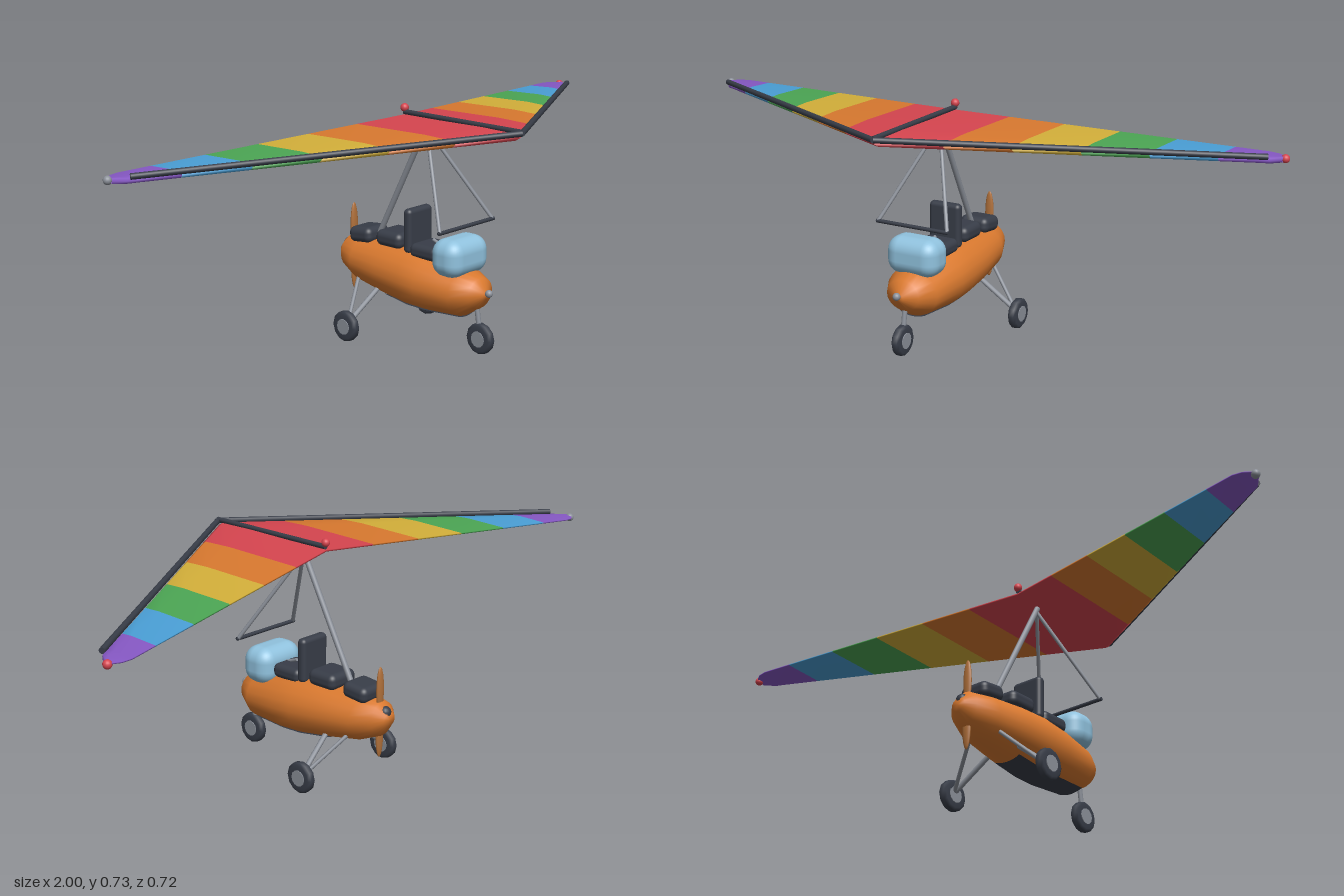
import * as THREE from 'three';
import { RoundedBoxGeometry } from 'three/addons/geometries/RoundedBoxGeometry.js';

const paint = (name, color, side = THREE.FrontSide) => {
  const m = new THREE.MeshStandardMaterial({ color, side });
  m.name = name;
  return m;
};

// Skin a row of cross-sections; points run anticlockwise about the travel axis
function loft(rings, closed = true) {
  const n = rings[0].length, idx = [];
  for (let i = 0; i < rings.length - 1; i++) {
    for (let j = 0; j < (closed ? n : n - 1); j++) {
      const k = (j + 1) % n;
      const a = i * n + j, b = i * n + k, c = a + n, d = b + n;
      idx.push(a, b, c, b, d, c);
    }
  }
  const g = new THREE.BufferGeometry();
  g.setAttribute('position', new THREE.Float32BufferAttribute(rings.flat(2), 3));
  g.setIndex(idx);
  g.computeVertexNormals();
  return g;
}

export function createModel() {
  const D = THREE.DoubleSide;
  const red = paint('red', 0xd6454f, D), orange = paint('orange', 0xd9792f, D);
  const yellow = paint('yellow', 0xd4b03a, D), green = paint('green', 0x4ca654, D);
  const blue = paint('blue', 0x4a9fd6, D), purple = paint('purple', 0x8658c4, D);
  const dark = paint('charcoal', 0x383d48, D), metal = paint('metal', 0x8b9099);
  const glass = paint('glass', 0x90c2de), wood = paint('wood', 0xb0703a);

  const model = new THREE.Group();
  model.name = 'ultralightTrike';
  const add = (name, geo, mat, x = 0, y = 0, z = 0, parent = model) => {
    const m = new THREE.Mesh(geo, mat);
    m.name = name;
    m.position.set(x, y, z);
    parent.add(m);
    return m;
  };
  const rod = (name, a, b, r, mat) => {
    const p = new THREE.Vector3(...a), q = new THREE.Vector3(...b);
    const m = add(name, new THREE.CylinderGeometry(r, r, p.distanceTo(q), 10), mat);
    m.position.copy(p).lerp(q, 0.5);
    m.quaternion.setFromUnitVectors(new THREE.Vector3(0, 1, 0), q.sub(p).normalize());
    return m;
  };
  const ball = (name, r, mat, x, y, z) => add(name, new THREE.SphereGeometry(r, 16, 12), mat, x, y, z);

  // Hull: z, centre height, half width, half height, from tail to nose
  const hull = [
    [-0.363, 0.226, 0, 0], [-0.362, 0.226, 0.025, 0.02], [-0.335, 0.222, 0.052, 0.053],
    [-0.27, 0.212, 0.08, 0.07], [-0.15, 0.205, 0.098, 0.085], [-0.05, 0.198, 0.105, 0.093],
    [0.02, 0.192, 0.105, 0.089], [0.145, 0.183, 0.088, 0.074], [0.2, 0.189, 0.056, 0.047],
    [0.222, 0.187, 0.014, 0.012], [0.223, 0.187, 0, 0],
  ];
  const arc = ([z, y, w, h], from, to, n, grow = 0) => Array.from({ length: n }, (_, i) => {
    const a = from + (to - from) * i / (n - 1);
    return [Math.cos(a) * (w + grow), y + Math.sin(a) * (h + grow), z];
  });
  const N = 20;
  add('hull', loft(hull.map(s => arc(s, 0, 2 * Math.PI * (N - 1) / N, N))), orange);
  const down = 1.5 * Math.PI;
  add('bellyPad', loft(hull.slice(4, 8).map(s => arc(s, down - 0.5, down + 0.5, 9, 0.003)), false), dark);
  ball('noseKnob', 0.012, metal, 0, 0.195, 0.235);

  // Windscreen, seats and engine cover
  const pad = (name, w, h, d, r, mat, y, z, tilt = 0) => {
    add(name, new RoundedBoxGeometry(w, h, d, 4, r), mat, 0, y, z).rotation.x = tilt;
  };
  pad('windscreen', 0.175, 0.118, 0.112, 0.045, glass, 0.293, 0.118);
  pad('frontSeat', 0.11, 0.045, 0.108, 0.018, dark, 0.289, 0.012);
  pad('seatBack', 0.108, 0.14, 0.031, 0.014, dark, 0.345, -0.052);
  pad('rearSeat', 0.11, 0.05, 0.105, 0.02, dark, 0.304, -0.133);
  pad('engineCover', 0.1, 0.05, 0.092, 0.02, dark, 0.295, -0.26, -0.1);
  rod('controlLever', [0, 0.302, 0.065], [0, 0.322, 0.012], 0.005, metal);

  // Pusher propeller
  for (const s of [1, -1]) {
    add('propellerBlade', new THREE.SphereGeometry(1, 16, 12), wood, 0, 0.24 + s * 0.07, -0.325)
      .scale.set(0.015, 0.072, 0.008);
  }
  ball('propellerHub', 0.019, dark, 0, 0.246, -0.345);

  // Wheels and landing gear
  const tyreProfile = [[0.02, -0.013], [0.04, -0.014], [0.048, -0.008], [0.048, 0.008], [0.04, 0.014], [0.02, 0.013]]
    .map(p => new THREE.Vector2(...p));
  for (const [name, x, z] of [['frontWheel', 0, 0.203], ['leftWheel', 0.185, -0.182], ['rightWheel', -0.185, -0.182]]) {
    const wheel = new THREE.Group();
    wheel.name = name;
    wheel.position.set(x, 0.048, z);
    wheel.rotation.z = Math.PI / 2;
    add('tyre', new THREE.LatheGeometry(tyreProfile, 12), dark, 0, 0, 0, wheel);
    add('wheelHub', new THREE.CylinderGeometry(0.025, 0.025, 0.031, 12), metal, 0, 0, 0, wheel);
    model.add(wheel);
  }
  rod('frontFork', [0, 0.05, 0.203], [0, 0.15, 0.187], 0.008, metal);
  for (const s of [1, -1]) {
    rod('gearLeg', [s * 0.185, 0.05, -0.182], [s * 0.06, 0.145, -0.165], 0.008, metal);
    rod('gearBrace', [s * 0.18, 0.05, -0.182], [s * 0.06, 0.163, -0.25], 0.006, metal);
  }

  // Mast and control frame
  rod('mast', [0, 0.68, -0.012], [0, 0.27, -0.23], 0.009, metal);
  for (const s of [1, -1]) {
    rod('controlFrameSide', [0, 0.665, -0.015], [s * 0.12, 0.388, 0.145], 0.006, metal);
  }
  rod('controlBar', [-0.125, 0.388, 0.145], [0.125, 0.388, 0.145], 0.006, dark);

  // Sail section: chord fraction from the leading edge, height
  const section = [[1, 0.006], [0.3, 0.012], [0.04, 0.009], [0, -0.002], [0.04, -0.013], [0.3, -0.009], [1, 0.001]];
  const rib = (x, lead = 0.347 - 0.6 * x, trail = -0.108 - 0.215 * x) => section.map(([f, h]) =>
    [x, 0.687 - 0.052 * x + h * (1 - 0.35 * x), lead + (trail - lead) * f]);
  const bands = [['red', red], ['orange', orange], ['yellow', yellow], ['green', green], ['blue', blue], ['purple', purple]];
  for (const s of [1, -1]) {
    bands.forEach(([name, mat], i) => {
      const ribs = i < 5 ? [rib(i / 6), rib((i + 1) / 6)]
        : [rib(5 / 6), rib(0.93), rib(0.96, -0.228, -0.305), rib(0.985, -0.262, -0.29)];
      const rings = s > 0 ? ribs : ribs.map(r => r.map(([x, y, z]) => [-x, y, z])).reverse();
      add(name + 'SailPanel', loft(rings), mat);
    });
    rod('leadingEdgeTube', [0, 0.698, 0.352], [s * 0.955, 0.649, -0.222], 0.009, dark);
    ball('wingTipLight', 0.013, s > 0 ? red : metal, s * 0.987, 0.635, -0.28);
  }
  rod('keelTube', [0, 0.702, 0.352], [0, 0.702, -0.105], 0.008, dark);
  ball('keelLight', 0.013, red, 0, 0.715, -0.105);

  return model;
}
